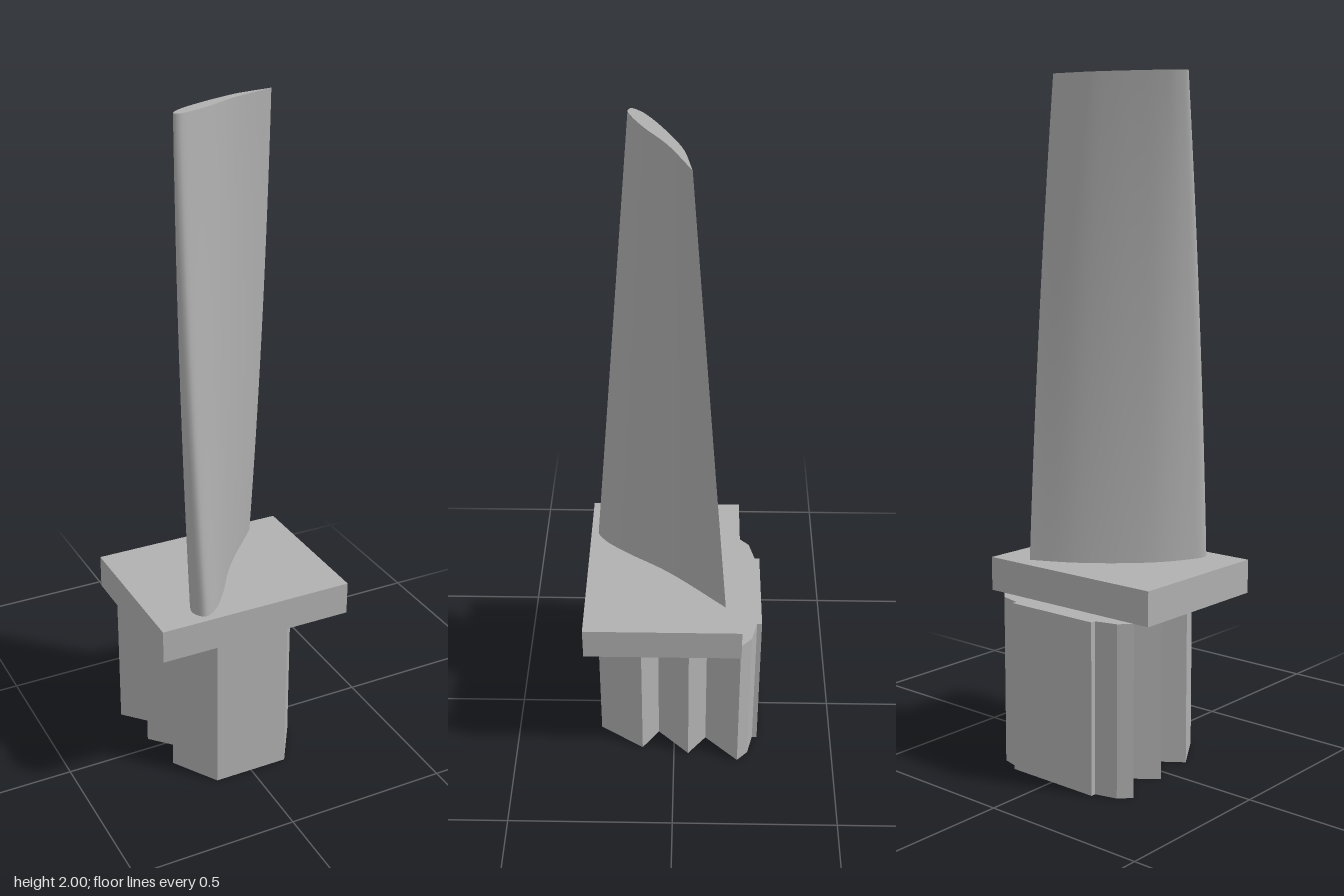
import * as THREE from 'three';

const metal = new THREE.MeshStandardMaterial({ color: 0xb0b0b0 });
metal.name = 'grey metal';

function addMesh(group, name, geometry) {
  const mesh = new THREE.Mesh(geometry, metal);
  mesh.name = name;
  group.add(mesh);
  return mesh;
}

// Airfoil outlines as [x, z]: trailing edge, convex back, nose, hollow front, trailing edge
const HUB = [[0.188, -0.153], [0.081, -0.102], [0.01, -0.054], [-0.062, 0.009], [-0.12, 0.075], [-0.162, 0.15],
  [-0.18, 0.21], [-0.156, 0.243], [-0.115, 0.222], [-0.06, 0.157], [0.033, 0.021], [0.188, -0.153]];
const TIP = [[0.183, -0.045], [0.07, -0.023], [0, 0.004], [-0.06, 0.032], [-0.12, 0.064], [-0.158, 0.09],
  [-0.178, 0.116], [-0.165, 0.125], [-0.13, 0.115], [-0.06, 0.08], [0.037, 0.02], [0.183, -0.045]];

const AROUND = 66, UP = 28, BASE_Y = 0.6, TOP_Y = 2;

function outline(points) {
  const curve = new THREE.CatmullRomCurve3(points.map(([x, z]) => new THREE.Vector3(x, 0, z)));
  return curve.getPoints(AROUND);
}

function buildGeometry(positions, index) {
  const g = new THREE.BufferGeometry();
  g.setAttribute('position', new THREE.Float32BufferAttribute(positions, 3));
  g.setIndex(index);
  g.computeVertexNormals();
  return g;
}

// Twisted, tapering blade lofted from hub to tip
function bladeGeometry(hub, tip) {
  const positions = [], index = [], row = AROUND + 1;
  for (let j = 0; j <= UP; j++) {
    const t = j / UP;
    const bulge = 1 + 0.18 * t * (1 - t);
    for (let i = 0; i <= AROUND; i++) {
      const p = hub[i].clone().lerp(tip[i], t);
      positions.push(p.x * bulge, BASE_Y + (TOP_Y - BASE_Y) * t, p.z);
      if (i < AROUND && j < UP) {
        const a = j * row + i, b = a + 1, c = b + row, d = a + row;
        index.push(a, b, c, a, c, d);
      }
    }
  }
  return buildGeometry(positions, index);
}

// Flat tip cap, stitched between the two sides of the outline
function tipGeometry(tip) {
  const positions = tip.flatMap((p) => [p.x, TOP_Y, p.z]);
  const index = [];
  for (let i = 0; i < AROUND / 2; i++) {
    const k = AROUND - i;
    index.push(i, i + 1, k - 1, i, k - 1, k);
  }
  return buildGeometry(positions, index);
}

export function createModel() {
  const model = new THREE.Group();
  model.name = 'turbineBlade';

  // Root with three pairs of lobes: half profile as [x, z], mirrored
  const half = [[0.115, 0.235], [0.2, 0.1], [0.132, 0.05], [0.222, -0.045], [0.155, -0.1],
    [0.248, -0.2], [0.215, -0.233], [0.15, -0.25], [0.15, -0.265]];
  const mirrored = half.map(([x, z]) => [-x, z]).reverse();
  const shape = new THREE.Shape([...half, ...mirrored].map(([x, z]) => new THREE.Vector2(x, -z)));
  const root = new THREE.ExtrudeGeometry(shape, { depth: 0.5, bevelEnabled: false });
  root.rotateX(-Math.PI / 2);
  addMesh(model, 'root', root);

  // Platform between root and blade
  const platform = addMesh(model, 'platform', new THREE.BoxGeometry(0.596, 0.1, 0.465));
  platform.position.set(0, 0.55, 0.0325);

  const hub = outline(HUB), tip = outline(TIP);
  addMesh(model, 'blade', bladeGeometry(hub, tip));
  addMesh(model, 'bladeTip', tipGeometry(tip));
  return model;
}
